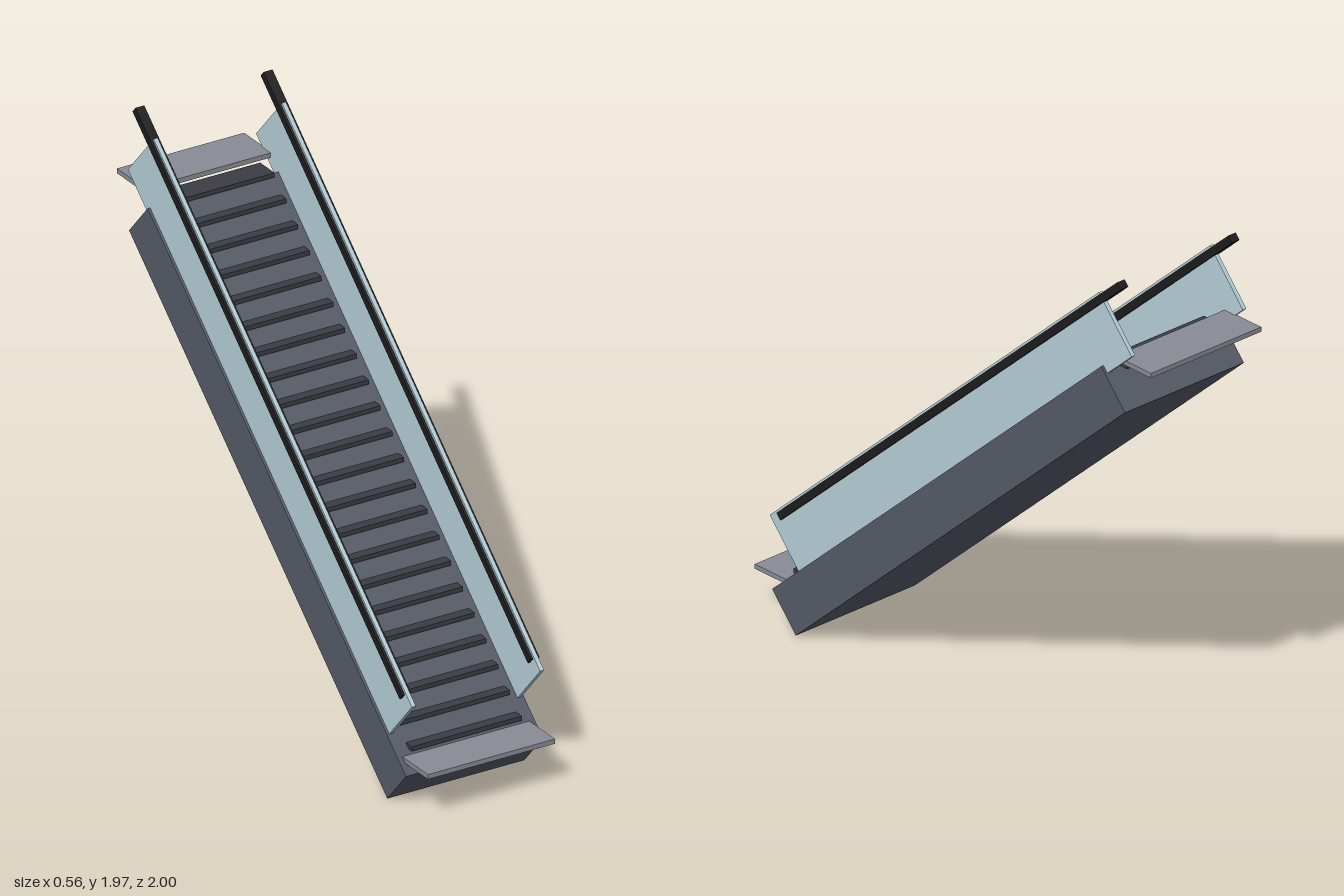
import * as THREE from 'three';

const SLOPE = 0.7274; // incline, lower end toward +z

function material(color) {
  return new THREE.MeshStandardMaterial({ color });
}

export function createModel() {
  const model = new THREE.Group();
  const trussMat = material(0x555a66);
  const stepMat = material(0x3a3d44);
  const panelMat = material(0xb4cdd6);
  const railMat = material(0x1c1c1c);
  const plateMat = material(0x888c94);

  function box(name, mat, size, position, tilt = 0) {
    const mesh = new THREE.Mesh(new THREE.BoxGeometry(...size), mat);
    mesh.name = name;
    mesh.position.set(...position);
    mesh.rotation.x = tilt;
    model.add(mesh);
  }

  // Inclined body
  box('truss', trussMat, [0.556, 0.18, 2.224], [0, 0.807, 0], SLOPE);

  // Level treads climbing the incline
  const count = 22;
  for (let i = 0; i < count; i++) {
    const t = i / (count - 1);
    box('step', stepMat, [0.446, 0.017, 0.093],
      [0, THREE.MathUtils.lerp(0.205, 1.618, t), THREE.MathUtils.lerp(0.795, -0.795, t)]);
  }

  // Side panels with a handrail straddling each near its top edge
  for (const [side, s] of [['left', 1], ['right', -1]]) {
    box(side + 'Panel', panelMat, [0.016, 0.25, 2.224], [s * 0.26, 1.054, 0], SLOPE);
    box(side + 'Handrail', railMat, [0.036, 0.029, 2.3], [s * 0.26, 1.19, 0], SLOPE);
  }

  // Landing plates at both ends
  box('lowerLanding', plateMat, [0.516, 0.018, 0.18], [0, 0.174, 0.91]);
  box('upperLanding', plateMat, [0.516, 0.018, 0.18], [0, 1.656, -0.91]);

  return model;
}
